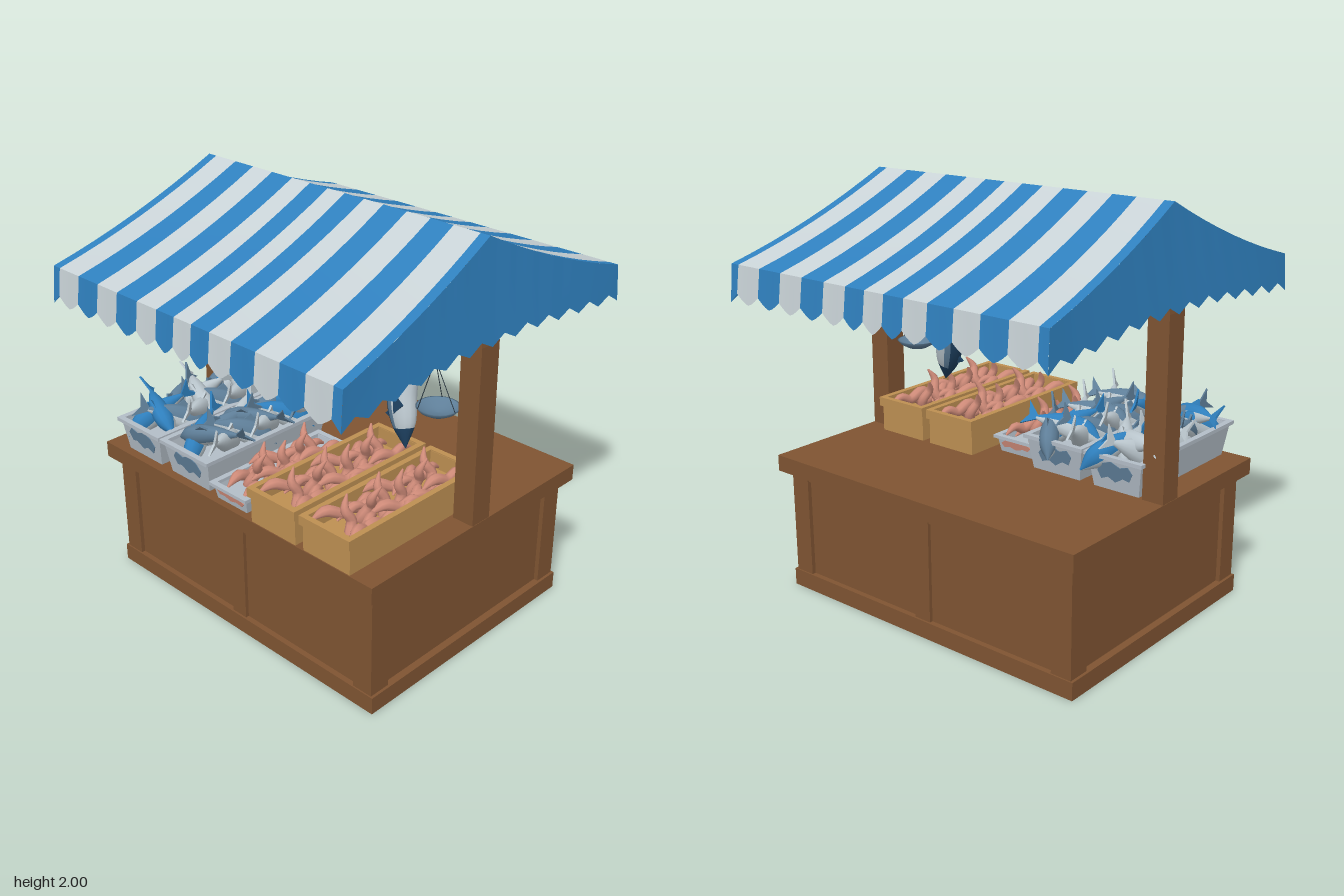
import * as THREE from 'three';
import { mergeGeometries } from 'three/addons/utils/BufferGeometryUtils.js';

const paint = (name, color, side = THREE.FrontSide) => {
  const m = new THREE.MeshStandardMaterial({ color, side });
  m.name = name;
  return m;
};

export function createModel() {
  const model = new THREE.Group();
  model.name = 'marketStall';
  const wood = paint('brown wood', 0x7f5432);
  const crateWood = paint('pale crate wood', 0xbd8f52);
  const blue = paint('blue canvas', 0x2f80be, THREE.DoubleSide);
  const white = paint('white canvas', 0xc8d2d6, THREE.DoubleSide);
  const plastic = paint('grey plastic', 0xb3bdc7);
  const slate = paint('slate fish', 0x5f7f99);
  const navy = paint('navy fish', 0x1d4060);
  const silver = paint('silver fish', 0xbcc8cf);
  const pink = paint('pink seafood', 0xcf8b79);
  const iron = paint('dark iron', 0x26333d);

  const add = (name, geo, mat, parent = model) => {
    const m = new THREE.Mesh(geo, mat);
    m.name = name;
    parent.add(m);
    return m;
  };
  // box given by its limits
  const box = (name, x0, x1, y0, y1, z0, z1, mat, parent) => {
    const m = add(name, new THREE.BoxGeometry(x1 - x0, y1 - y0, z1 - z0), mat, parent);
    m.position.set((x0 + x1) / 2, (y0 + y1) / 2, (z0 + z1) / 2);
    return m;
  };
  const polygon = (pts) => new THREE.Shape(pts.map((p) => new THREE.Vector2(...p)));
  const slab = (pts, depth) =>
    new THREE.ExtrudeGeometry(polygon(pts), { depth, bevelEnabled: false }).translate(0, 0, -depth / 2);

  // ---- counter ----
  box('counterCore', -0.825, 0.825, 0.02, 0.62, -0.635, 0.635, wood);
  box('skirting', -0.86, 0.86, 0, 0.085, -0.662, 0.662, wood);
  box('counterTop', -0.888, 0.888, 0.61, 0.69, -0.705, 0.705, wood);
  box('topRail', -0.84, 0.84, 0.57, 0.61, -0.648, 0.648, wood);
  for (const s of [-1, 1]) {
    for (const t of [-1, 1]) {
      const c = box('cornerStile', -0.0525, 0.0525, 0.08, 0.61, -0.055, 0.055, wood);
      c.position.x = s * 0.794;
      c.position.z = t * 0.6;
    }
    const m = box('middleStile', -0.045, 0.045, 0.08, 0.61, -0.01, 0.01, wood);
    m.position.z = s * 0.642;
    // roof post, drawn in at the top to sit under the canvas
    add('roofPost', slab([[0.777, 0.68], [0.886, 0.68], [0.884, 1.54], [0.838, 1.93], [0.777, 1.93]]
      .map(([x, y]) => [s * x, y]), 0.116), wood);
  }
  const beam = add('ridgeBeam', new THREE.CylinderGeometry(0.055, 0.055, 1.64, 16), wood);
  beam.rotation.z = Math.PI / 2;
  beam.position.y = 1.895;

  // ---- striped canopy ----
  const sheet = (cols, rows, f) => {
    const g = new THREE.PlaneGeometry(1, 1, cols, rows);
    const p = g.attributes.position;
    for (let i = 0; i < p.count; i++) p.setXYZ(i, ...f(p.getX(i) + 0.5, p.getY(i) + 0.5));
    g.computeVertexNormals();
    return g;
  };
  const mix = THREE.MathUtils.lerp;
  const slopeY = (s) => 2 - 0.345 * (1.3 * s - 0.3 * s * s);
  const ridgeX = [0.052, 0.165, 0.278, 0.41, 0.54, 0.662, 0.8, 0.85];
  const eaveX = [0.055, 0.167, 0.297, 0.435, 0.572, 0.712, 0.855, 0.902];
  const cloth = [[], []];
  const stripe = (r0, r1, e0, e1, colour, last) => {
    for (const side of [-1, 1]) {
      cloth[colour].push(
        sheet(2, 8, (u, v) => [mix(mix(r0, r1, u), mix(e0, e1, u), v), slopeY(v), side * 0.89 * v]),
        // scalloped front and back valance
        sheet(6, 1, (u, v) => {
          const dip = last ? u : 1 - Math.pow(Math.abs(2 * u - 1), 1.4);
          return [mix(e0, e1, u) * (1 + 0.005 * v), mix(1.655, 1.525 - 0.045 * dip, v), side * (0.89 + 0.015 * v)];
        }));
    }
  };
  stripe(-ridgeX[0], ridgeX[0], -eaveX[0], eaveX[0], 1, false);
  for (let i = 1; i < 8; i++) {
    for (const s of [-1, 1]) {
      stripe(s * ridgeX[i - 1], s * ridgeX[i], s * eaveX[i - 1], s * eaveX[i], (i + 1) % 2, i === 7);
    }
  }
  // gable ends with a toothed lower edge
  for (const s of [-1, 1]) {
    cloth[0].push(sheet(24, 1, (u, v) => {
      const k = 2 * u - 1, a = Math.abs(k);
      const tooth = Math.round(u * 24) % 2 ? 0.04 : 0;
      const low = 1.478 + 0.055 * Math.min(1, (1 - a) * 1.4) + tooth;
      return [s * mix(mix(0.85, 0.902, a), mix(0.893, 0.907, a), v), mix(slopeY(a), low, v), mix(0.89, 0.905, v) * k];
    }));
  }
  add('blueCanopy', mergeGeometries(cloth[0]), blue);
  add('whiteCanopyStripes', mergeGeometries(cloth[1]), white);

  // ---- lofted bodies along a path in the xy plane; pick() chooses the colour ----
  const loft = (path, radii, flat, pick, seg = 14, sides = 12) => {
    const curve = new THREE.CatmullRomCurve3(path.map(([x, y]) => new THREE.Vector3(x, y, 0)));
    const width = new THREE.CatmullRomCurve3(radii.map((r, i) => new THREE.Vector3(i, r, 0)));
    const pos = [], lists = [[], [], []];
    for (let i = 0; i <= seg; i++) {
      const p = curve.getPoint(i / seg), t = curve.getTangent(i / seg);
      const r = Math.max(0.002, width.getPoint(i / seg).y);
      for (let j = 0; j < sides; j++) {
        const a = (j / sides) * Math.PI * 2, c = Math.cos(a) * r;
        pos.push(p.x - t.y * c, p.y + t.x * c, Math.sin(a) * r * flat);
        if (i === seg) continue;
        const n = (j + 1) % sides, o = i * sides;
        lists[pick(i / seg, Math.cos(a + Math.PI / sides))]
          .push(o + j, o + n, o + sides + j, o + n, o + sides + n, o + sides + j);
      }
    }
    const g = new THREE.BufferGeometry();
    g.setAttribute('position', new THREE.Float32BufferAttribute(pos, 3));
    g.setIndex(lists.flat());
    let start = 0;
    lists.forEach((l, k) => { g.addGroup(start, l.length, k); start += l.length; });
    g.computeVertexNormals();
    return g;
  };

  // ---- trays and crates ----
  const tray = (name, x0, x1, z0, z1, h, inset, rim, mat, floor) => {
    const g = new THREE.Group();
    g.name = name;
    g.position.set((x0 + x1) / 2, 0.69, (z0 + z1) / 2);
    model.add(g);
    const w = (x1 - x0) / 2, d = (z1 - z0) / 2;
    const ring = (a, b, t, height) => {
      const s = polygon([[-a, -b], [a, -b], [a, b], [-a, b]]);
      const i = a - t, j = b - t;
      s.holes.push(new THREE.Path([[-i, -j], [-i, j], [i, j], [i, -j]].map((p) => new THREE.Vector2(...p))));
      return new THREE.ExtrudeGeometry(s, { depth: height, bevelEnabled: false }).rotateX(-Math.PI / 2);
    };
    const walls = ring(w - 0.01, d - 0.015, 0.015, h - 0.005);
    const p = walls.attributes.position;
    for (let i = 0; i < p.count; i++) {
      const k = inset * (1 - p.getY(i) / h);
      p.setX(i, p.getX(i) - Math.sign(p.getX(i)) * k);
      p.setZ(i, p.getZ(i) - Math.sign(p.getZ(i)) * k);
    }
    walls.computeVertexNormals();
    add('walls', walls, mat, g);
    add('rim', ring(w, d, 0.028, rim), mat, g).position.y = h - rim;
    const f = w - inset - 0.02, e = d - inset - 0.025;
    box('floor', -f, f, 0, floor, -e, e, mat, g);
    return g;
  };
  // painted patch on the sloping ends of a tray
  const patch = (g, d, h, inset, size, mat) => {
    const pts = [[-1, 0.3], [-0.75, 0.75], [-0.3, 0.55], [0.2, 0.85], [0.7, 0.6], [1, 0.05],
      [0.8, -0.55], [0.4, -0.3], [0, -0.6], [-0.45, -0.2], [-0.8, -0.3]];
    for (const s of [-1, 1]) {
      const m = add('paintedPatch', slab(pts.map(([x, y]) => [x * size, y * h * 0.4]), 0.006), mat, g);
      m.position.set(0, h / 2, s * (d - 0.015 - inset / 2));
      m.rotation.x = s * Math.atan(inset / h);
    }
  };

  // ---- fish on ice ----
  const fishBody = loft([[-0.16, 0], [-0.07, 0.015], [0.05, 0.015], [0.17, 0]],
    [0.004, 0.058, 0.05, 0.01], 0.75, (t, c) => (c > 0 ? 0 : 1));
  const fishTail = slab([[0.15, 0], [0.23, 0.065], [0.205, 0], [0.23, -0.055]], 0.01);
  const fishFin = slab([[-0.06, 0.055], [0.02, 0.1], [0.05, 0.05]], 0.01);
  const fish = (parent, x, y, z, back, ry, rx, rz) => {
    const f = new THREE.Group();
    f.name = 'fish';
    f.position.set(x, y, z);
    f.rotation.set(rx, ry, rz);
    parent.add(f);
    add('body', fishBody, [back, silver, silver], f);
    add('tail', fishTail, back, f);
    add('backFin', fishFin, back, f);
  };
  [[-0.79, -0.478], [-0.467, -0.13]].forEach(([x0, x1], n) => {
    const g = tray('fishTray', x0, x1, -0.09, 0.7, 0.17, 0.025, 0.018, plastic, 0.1);
    patch(g, 0.395, 0.17, 0.025, 0.095, slate);
    const backs = [blue, slate, silver, slate, silver];
    for (let i = 0; i < 5; i++) {
      const z = 0.24 - i * 0.125, turn = (i + n) % 2 ? 1 : -1;
      fish(g, -0.06, 0.15, z, backs[i], Math.PI / 2 + turn * 0.35, 0.5, 0.1);
      fish(g, 0.07, 0.16, z - 0.05, backs[(i + 1 + n) % 5], -Math.PI / 2 + turn * 0.5, -0.4, 0.12);
      if (i % 2 === 0) fish(g, 0, 0.19, z, backs[(i + n) % 5], turn > 0 ? 0.4 : 2.7, 0.7, 0);
    }
  });

  // ---- pink seafood ----
  const squid = loft([[-0.13, -0.01], [-0.06, 0.02], [0.02, -0.01], [0.08, 0.015], [0.14, -0.015]],
    [0.004, 0.026, 0.024, 0.02, 0.004], 1, () => 0, 14, 8);
  const pile = (g, w, d, y, rows) => {
    for (let i = 0; i < rows; i++) {
      for (let k = 0; k < 3; k++) {
        const m = add('squid', squid, pink, g);
        m.position.set((k - 1) * w, y + 0.018 * ((i + k) % 3), mix(-d, d, i / (rows - 1)));
        m.rotation.set(Math.PI / 2 * (k % 2), Math.PI / 2 + 0.45 * Math.sin(i * 2.3 + k * 1.7), 0);
      }
    }
  };
  const small = tray('smallTray', -0.12, 0.125, 0, 0.7, 0.085, 0.015, 0.016, plastic, 0.045);
  patch(small, 0.35, 0.085, 0.015, 0.09, pink);
  pile(small, 0.055, 0.18, 0.062, 5);
  for (const [x0, x1] of [[0.155, 0.45], [0.478, 0.77]]) {
    const g = tray('woodenCrate', x0, x1, -0.13, 0.715, 0.175, 0, 0.045, crateWood, 0.09);
    pile(g, 0.07, 0.26, 0.115, 6);
  }

  // ---- hanging fish ----
  const hang = new THREE.Group();
  hang.name = 'hangingFish';
  hang.position.set(0.54, 1.45, 0);
  hang.rotation.x = -0.2;
  model.add(hang);
  add('body', loft([[-0.015, -0.5], [-0.05, -0.39], [-0.085, -0.25], [-0.05, -0.13], [0, -0.04]],
    [0.003, 0.062, 0.074, 0.048, 0.015], 0.75,
    (t, c) => (t < 0.2 || (t < 0.5 && c > 0.75) ? 2 : c > 0.1 ? 0 : 1), 20, 14), [slate, silver, navy], hang);
  add('tail', slab([[-0.02, -0.06], [-0.085, 0.03], [-0.03, 0.01], [0.005, -0.02], [0.08, -0.025], [0.03, -0.08]], 0.012), navy, hang);
  add('backFin', slab([[-0.13, -0.2], [-0.18, -0.21], [-0.15, -0.3]], 0.012), navy, hang);
  add('lowerFin', slab([[-0.11, -0.33], [-0.155, -0.38], [-0.1, -0.4]], 0.012), navy, hang);
  const sideFin = add('sideFin', slab([[-0.07, -0.35], [-0.1, -0.24], [-0.03, -0.3]], 0.01), navy, hang);
  sideFin.position.z = 0.05;

  // hook through the tail
  const hook = [[0, -0.06], [0.005, 0.0], [-0.022, 0.03], [-0.012, 0.058], [0.015, 0.062], [0.03, 0.035]];
  add('hook', new THREE.TubeGeometry(new THREE.CatmullRomCurve3(
    hook.map(([x, y]) => new THREE.Vector3(0.54 + x, 1.445 + y, 0))), 24, 0.007, 6), iron);

  // ---- scale pan on cords ----
  const dish = [[0, 0], [0.05, 0.008], [0.085, 0.028], [0.1, 0.045], [0.092, 0.045], [0.05, 0.02], [0, 0.014]];
  add('scalePan', new THREE.LatheGeometry(dish.map((p) => new THREE.Vector2(...p)), 24), slate)
    .position.set(0.62, 1.12, 0);
  for (let i = 0; i < 3; i++) {
    const a = (i / 3) * Math.PI * 2;
    add('panCord', new THREE.TubeGeometry(new THREE.LineCurve3(new THREE.Vector3(0.595, 1.38, 0),
      new THREE.Vector3(0.62 + 0.095 * Math.cos(a), 1.165, 0.095 * Math.sin(a))), 1, 0.0025, 4), iron);
  }
  return model;
}
